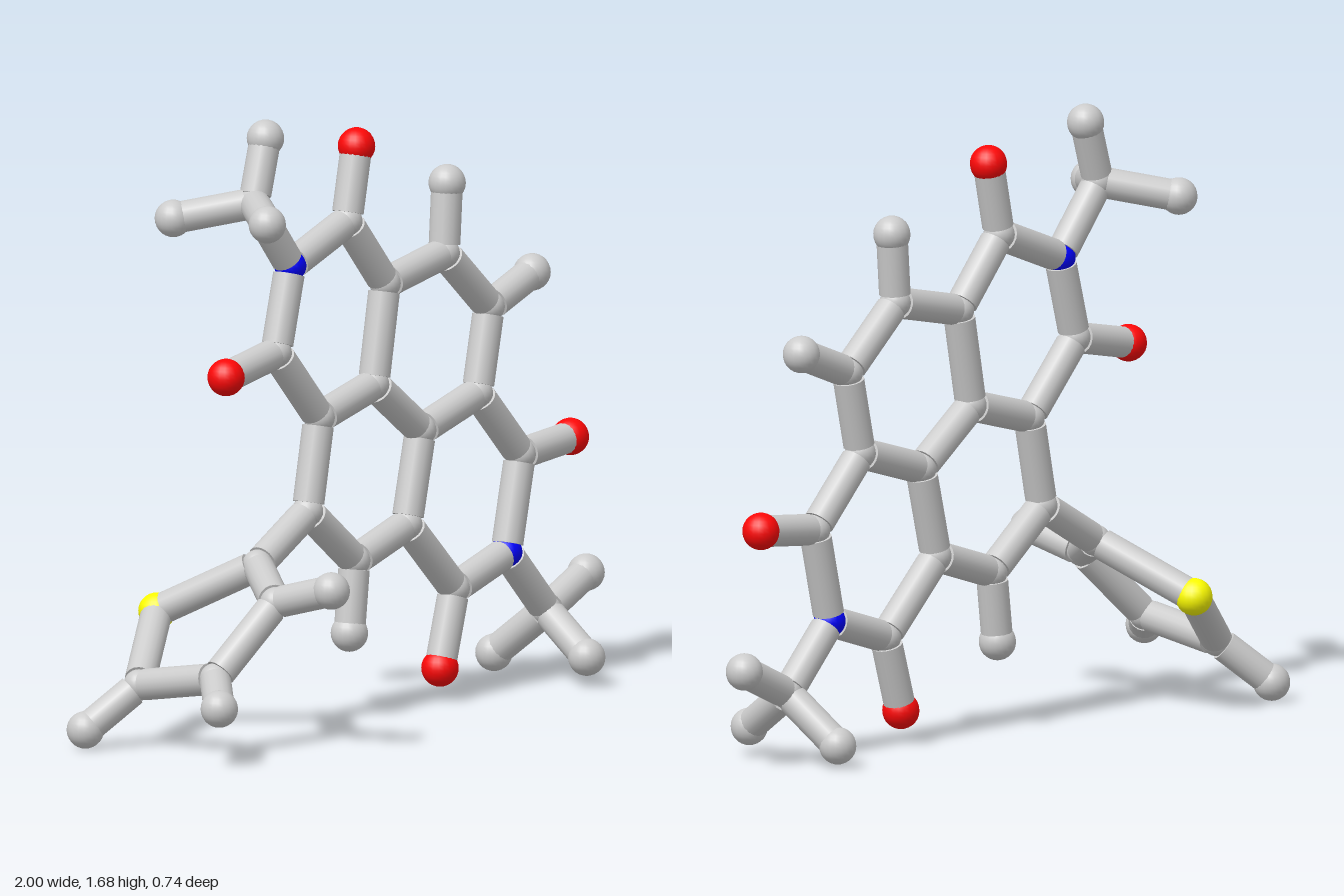
import * as THREE from 'three';

const BOND_R = 0.043, TIP_R = 0.051, GAP = 0.024;

// The fused ring system lies in one slightly tilted plane
const flat = (x, y) => [x, y, -0.083 - 0.03 * x - 0.03 * (y - 0.8)];

// name: [element, position]
const ATOMS = {
  // fused ring system
  n1: ['N', flat(-0.31, 1.27)],
  c2: ['C', flat(-0.06, 1.36)],
  c3: ['C', flat(0.10, 1.17)],
  c4: ['C', flat(0.36, 1.22)],
  c5: ['C', flat(0.55, 1.05)],
  c6: ['C', flat(0.49, 0.82)],
  c7: ['C', flat(0.24, 0.75)],
  c8: ['C', flat(0.04, 0.90)],
  c9: ['C', flat(-0.20, 0.84)],
  c10: ['C', flat(-0.38, 1.04)],
  c11: ['C', flat(-0.26, 0.59)],
  c12: ['C', flat(-0.06, 0.43)],
  c13: ['C', flat(0.17, 0.50)],
  c14: ['C', flat(0.37, 0.30)],
  n15: ['N', flat(0.60, 0.37)],
  c16: ['C', flat(0.67, 0.63)],
  // oxygens and hydrogens on the rings
  o2: ['O', flat(-0.01, 1.56)],
  o10: ['O', flat(-0.60, 1.00)],
  o14: ['O', flat(0.30, 0.09)],
  o16: ['O', flat(0.89, 0.65)],
  h4: ['H', flat(0.38, 1.41)],
  h5: ['H', flat(0.74, 1.12)],
  h12: ['H', flat(-0.09, 0.235)],
  // upper methyl
  m1: ['C', [-0.46, 1.46, -0.09]],
  m1a: ['H', [-0.40, 1.63, -0.10]],
  m1b: ['H', [-0.61, 1.42, -0.25]],
  m1c: ['H', [-0.60, 1.435, 0.075]],
  // lower methyl
  m2: ['C', [0.77, 0.19, -0.09]],
  m2a: ['H', [0.95, 0.27, -0.10]],
  m2b: ['H', [0.74, 0.06, -0.25]],
  m2c: ['H', [0.745, 0.08, 0.075]],
  // five-sided side ring
  t1: ['C', [-0.48, 0.47, -0.06]],
  t2: ['C', [-0.63, 0.405, 0.13]],
  t3: ['C', [-0.825, 0.215, 0.08]],
  t4: ['C', [-0.825, 0.17, -0.19]],
  s: ['S', [-0.59, 0.33, -0.325]],
  t2h: ['H', [-0.615, 0.455, 0.315]],
  t3h: ['H', [-0.95, 0.16, 0.20]],
  t4h: ['H', [-0.945, 0.052, -0.28]],
};

// Each chain joins neighbouring atoms
const CHAINS = [
  'n1 c2 c3 c8 c9 c10 n1', 'c3 c4 c5 c6 c7 c8', 'c9 c11 c12 c13 c7',
  'c13 c14 n15 c16 c6', 'c2 o2', 'c10 o10', 'c14 o14', 'c16 o16',
  'c4 h4', 'c5 h5', 'c12 h12', 'n1 m1 m1a', 'm1b m1 m1c',
  'n15 m2 m2a', 'm2b m2 m2c', 'c11 t1 t2 t3 t4 s t1',
  't2 t2h', 't3 t3h', 't4 t4h',
];

const STYLE = {
  C: ['carbon', 0xcccccc, BOND_R], H: ['hydrogen', 0xcccccc, TIP_R],
  N: ['nitrogen', 0x0000ff, BOND_R + 0.001], O: ['oxygen', 0xff0808, TIP_R],
  S: ['sulfur', 0xffff00, TIP_R],
};

export function createModel() {
  const model = new THREE.Group();
  model.name = 'molecule';
  const atoms = new THREE.Group();
  atoms.name = 'atoms';
  const bonds = new THREE.Group();
  bonds.name = 'bonds';
  model.add(atoms, bonds);

  // Balls
  const kit = {};
  for (const [el, [, color, r]] of Object.entries(STYLE)) {
    kit[el] = {
      geometry: new THREE.SphereGeometry(r, 20, 14),
      material: new THREE.MeshStandardMaterial({ color }),
    };
  }
  const point = {};
  for (const [id, [el, p]] of Object.entries(ATOMS)) {
    const ball = new THREE.Mesh(kit[el].geometry, kit[el].material);
    ball.name = STYLE[el][0];
    ball.position.set(...p);
    point[id] = ball.position;
    atoms.add(ball);
  }

  // Rods, stopping just short of each centre so the joint shows between them
  const rod = new THREE.CylinderGeometry(BOND_R, BOND_R, 1, 18, 1);
  const up = new THREE.Vector3(0, 1, 0);
  for (const chain of CHAINS) {
    const ids = chain.split(' ');
    for (let i = 1; i < ids.length; i++) {
      const a = point[ids[i - 1]], b = point[ids[i]];
      const dir = b.clone().sub(a);
      const bond = new THREE.Mesh(rod, kit.C.material);
      bond.name = 'bond';
      bond.scale.y = dir.length() - 2 * GAP;
      bond.position.copy(a).add(b).multiplyScalar(0.5);
      bond.quaternion.setFromUnitVectors(up, dir.normalize());
      bonds.add(bond);
    }
  }
  return model;
}
